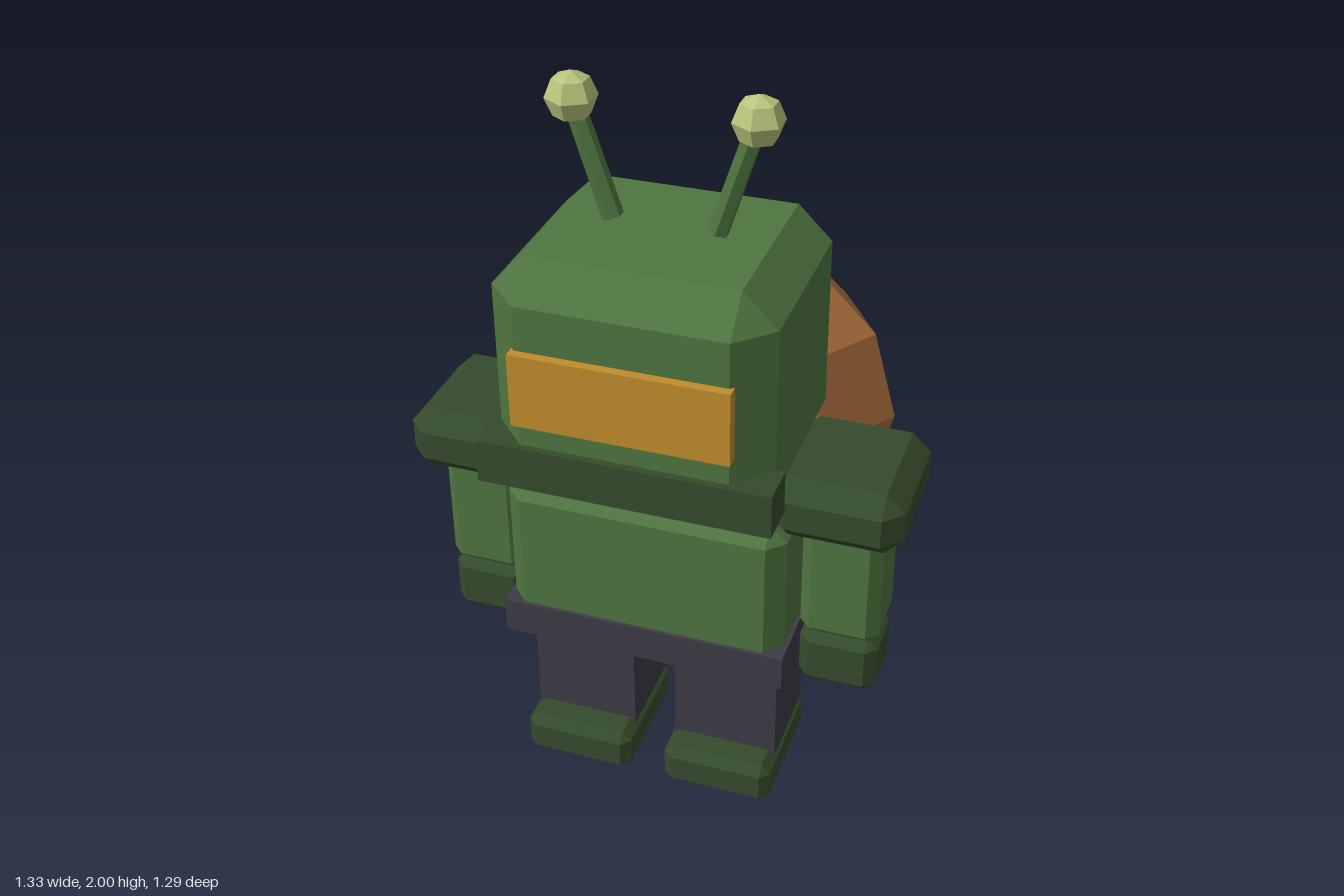
import * as THREE from 'three';
import { ConvexGeometry } from 'three/addons/geometries/ConvexGeometry.js';

const colour = (name, hex) => {
  const m = new THREE.MeshStandardMaterial({ color: hex });
  m.name = name;
  return m;
};

export function createModel() {
  const green = colour('leaf green', 0x4f7540);
  const darkGreen = colour('dark green', 0x354b2c);
  const slate = colour('slate', 0x3d3b47);
  const amber = colour('amber', 0xc08c2c);
  const lime = colour('pale lime', 0xb8c47c);
  const brown = colour('shell brown', 0xa86c3c);
  const darkBrown = colour('dark shell brown', 0x6e4a2e);

  const model = new THREE.Group();
  model.name = 'snailRobot';

  const add = (name, geometry, material) => {
    const mesh = new THREE.Mesh(geometry, material);
    mesh.name = name;
    model.add(mesh);
    return mesh;
  };

  // Box given by its limits, with every edge cut by a flat bevel
  const block = (name, material, [x0, x1], [y0, y1], [z0, z1], bevel = 0) => {
    const half = [(x1 - x0) / 2, (y1 - y0) / 2, (z1 - z0) / 2];
    let geometry;
    if (bevel) {
      const points = [];
      for (const sx of [-1, 1]) for (const sy of [-1, 1]) for (const sz of [-1, 1]) {
        const sign = [sx, sy, sz];
        for (let axis = 0; axis < 3; axis++) {
          const p = half.map((h, i) => sign[i] * (i === axis ? h : h - bevel));
          points.push(new THREE.Vector3(...p));
        }
      }
      geometry = new ConvexGeometry(points);
    } else {
      geometry = new THREE.BoxGeometry(...half.map((h) => h * 2));
    }
    const mesh = add(name, geometry, material);
    mesh.position.set((x0 + x1) / 2, (y0 + y1) / 2, (z0 + z1) / 2);
    return mesh;
  };

  // Faceted ball, optionally squashed along z
  const ball = (name, material, radius, sides, rows, turn = 0, depth = 1) => {
    let geometry = new THREE.SphereGeometry(radius, sides, rows);
    geometry.rotateY(turn);
    geometry.scale(1, 1, depth);
    geometry = geometry.toNonIndexed();
    geometry.computeVertexNormals();
    return add(name, geometry, material);
  };

  // Head, visor and jaw
  block('head', green, [-0.36, 0.36], [0.97, 1.62], [-0.03, 0.62], 0.09);
  block('visor', amber, [-0.28, 0.28], [1.21, 1.41], [0.61, 0.645]);
  block('jaw', darkGreen, [-0.383, 0.383], [1.02, 1.14], [0.525, 0.64]);

  // Torso and belt
  block('torso', green, [-0.38, 0.38], [0.5, 0.93], [0.08, 0.52], 0.045);
  block('belt', slate, [-0.39, 0.39], [0.45, 0.55], [0.07, 0.53]);

  // Limbs and antennae on both sides
  for (const [side, s] of [['left', 1], ['right', -1]]) {
    const span = (a, b) => (s > 0 ? [a, b] : [-b, -a]);
    block(side + 'Shoulder', darkGreen, span(0.32, 0.667), [0.885, 1.065], [0.1, 0.485], 0.05);
    block(side + 'Arm', green, span(0.395, 0.608), [0.54, 0.95], [0.195, 0.405], 0.03);
    block(side + 'Hand', darkGreen, span(0.395, 0.608), [0.37, 0.545], [0.21, 0.4], 0.03);
    block(side + 'Leg', slate, span(0.06, 0.35), [0.1, 0.46], [0.165, 0.43]);
    block(side + 'Foot', darkGreen, span(0.05, 0.357), [0, 0.125], [0.155, 0.52], 0.025);

    const base = new THREE.Vector3(s * 0.135, 1.635, 0.295);
    const tip = new THREE.Vector3(s * 0.232, 1.934, 0.295);
    const axis = tip.clone().sub(base);
    const stalkGeometry = new THREE.CylinderGeometry(0.026, 0.028, axis.length(), 6).toNonIndexed();
    stalkGeometry.computeVertexNormals();
    const stalk = add(side + 'AntennaStalk', stalkGeometry, green);
    stalk.position.copy(base).lerp(tip, 0.5);
    stalk.quaternion.setFromUnitVectors(new THREE.Vector3(0, 1, 0), axis.normalize());
    ball(side + 'AntennaTip', lime, 0.066, 6, 4, Math.PI / 2).position.copy(tip);
  }

  // Snail shell on the back, three whorls shrinking outwards
  ball('shellBody', brown, 0.504, 8, 6, 0, 0.615).position.set(0, 0.893, -0.17);
  const whorl = ball('shellWhorl', darkBrown, 0.303, 8, 5, 0, 0.48);
  whorl.position.set(0, 0.995, -0.395);
  whorl.rotation.x = 0.12;
  ball('shellTip', brown, 0.16, 6, 4, Math.PI / 2).position.set(0, 1.018, -0.485);

  return model;
}
